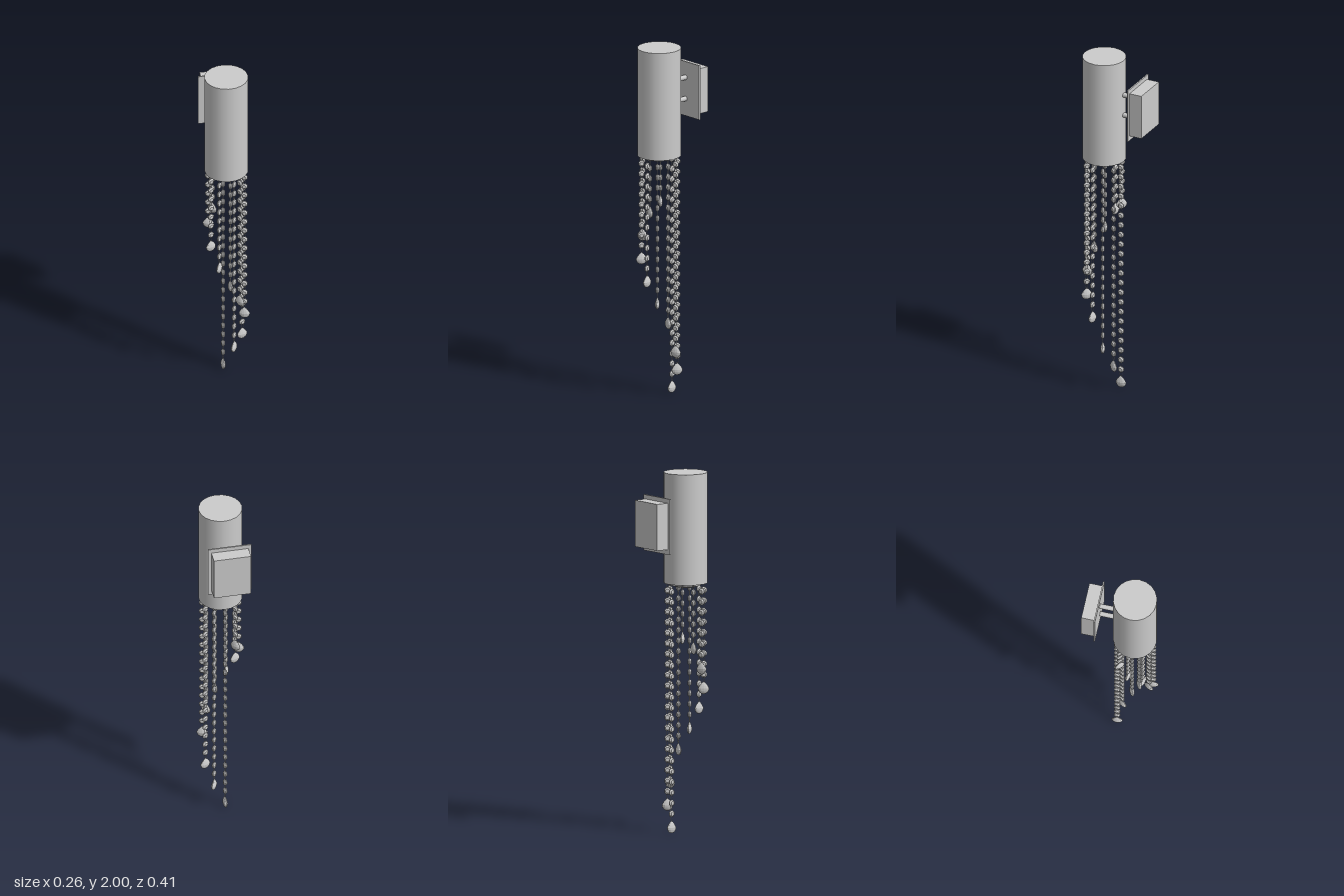
import * as THREE from 'three';

export function createModel() {
  const model = new THREE.Group();
  const mat = new THREE.MeshStandardMaterial({ color: 0xcccccc });
  const facet = new THREE.MeshStandardMaterial({ color: 0xcccccc, flatShading: true });
  const thin = new THREE.MeshStandardMaterial({ color: 0xcccccc, side: THREE.DoubleSide });
  const add = (parent, name, geo, x, y, z, m = mat) => {
    const mesh = new THREE.Mesh(geo, m);
    mesh.name = name;
    mesh.position.set(x, y, z);
    parent.add(mesh);
    return mesh;
  };
  const cz = 0.073, R = 0.121;
  const bottom = 1.385;

  // Tubular shade: closed top, open bottom with a short inner wall
  const h = 2 - bottom;
  add(model, 'shade', new THREE.CylinderGeometry(R, R, h, 20, 1, true), 0, bottom + h / 2, cz, thin);
  const cap = add(model, 'shadeTop', new THREE.CircleGeometry(R, 20), 0, 2, cz);
  cap.rotation.x = -Math.PI / 2;
  const dish = [[0.001, 1.362], [0.05, 1.362], [0.085, 1.372], [0.092, 1.395], [R - 0.006, 1.4],
    [R - 0.006, bottom], [R, bottom]].map(p => new THREE.Vector2(...p));
  add(model, 'bottomDish', new THREE.LatheGeometry(dish, 20), 0, 0, cz,
    new THREE.MeshStandardMaterial({ color: 0xcccccc, flatShading: true, side: THREE.DoubleSide }));

  // Wall mount: plate, box and two posts
  add(model, 'wallPlate', new THREE.BoxGeometry(0.243, 0.31, 0.008), -0.011, 1.725, -0.128);
  add(model, 'wallBox', new THREE.BoxGeometry(0.208, 0.258, 0.074), -0.011, 1.727, -0.168);
  for (const y of [1.79, 1.668]) {
    const post = add(model, 'post', new THREE.CylinderGeometry(0.014, 0.014, 0.095, 12), -0.002, y, -0.081);
    post.rotation.x = Math.PI / 2;
  }

  // Faceted eight-sided bead, its flat sides facing along z
  const r = 0.0185, t = 0.01;
  const beadGeo = new THREE.LatheGeometry(
    [[0.0001, -t], [r * 0.6, -t], [r, -0.003], [r, 0.003], [r * 0.6, t], [0.0001, t]]
      .map(p => new THREE.Vector2(...p)), 8);
  beadGeo.rotateY(Math.PI / 8).rotateX(Math.PI / 2);

  // Flattened teardrop pendant, narrowing upwards
  const dropGeo = new THREE.SphereGeometry(1, 12, 8);
  const p = dropGeo.attributes.position;
  for (let i = 0; i < p.count; i++) {
    const y = p.getY(i), k = y > 0 ? 1 - 0.45 * y : 1;
    p.setXYZ(i, p.getX(i) * 0.031 * k, y * (y > 0 ? 0.036 : 0.032) - 0.006, p.getZ(i) * 0.013 * k);
  }
  dropGeo.computeVertexNormals();
  const linkGeo = new THREE.TorusGeometry(0.011, 0.0018, 4, 10);
  linkGeo.scale(0.65, 1.25, 1);

  // Ten strands around the rim, lengthening in a spiral
  const beads = [4, 5, 7, 9, 11, 13, 15, 18, 20, 22];
  const step = 0.0587, top = 1.342;
  beads.forEach((n, i) => {
    const a = THREE.MathUtils.degToRad(226 - 35.5 * i);
    const strand = new THREE.Group();
    strand.name = 'strand';
    strand.position.set(Math.cos(a) * 0.1, 0, cz + Math.sin(a) * 0.1);
    strand.rotation.y = -a;
    for (let k = 0; k < n; k++) {
      const y = top - step * k;
      add(strand, 'bead', beadGeo, 0, y, 0, facet);
      add(strand, 'link', linkGeo, 0, y + step / 2, 0);
    }
    const end = top - step * n;
    add(strand, 'link', linkGeo, 0, end + step / 2 + 0.002, 0);
    add(strand, 'pendant', dropGeo, 0, end - 0.012, 0, facet);
    model.add(strand);
  });
  return model;
}
